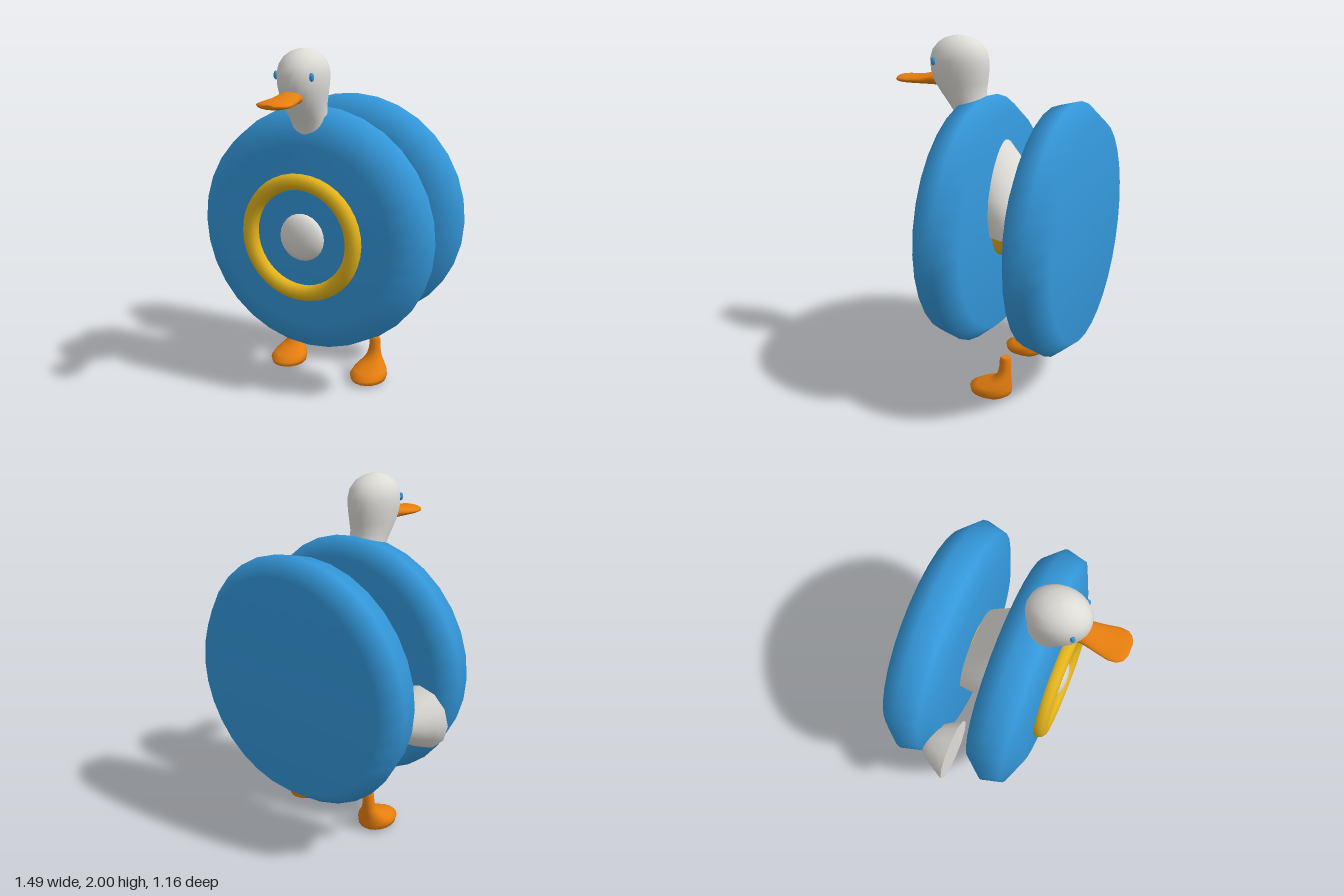
import * as THREE from 'three';

const mat = (name, color) => {
  const m = new THREE.MeshStandardMaterial({ color });
  m.name = name;
  return m;
};

// Smooth skin over elliptical rings [y, zBack, zFront, halfWidth], y ascending, with flat end caps
function loft(levels, n = 20) {
  const pos = [], idx = [];
  const ring = ([y, z0, z1, hw]) => {
    for (let j = 0; j < n; j++) {
      const a = (j / n) * Math.PI * 2;
      pos.push(hw * Math.sin(a), y, (z0 + z1) / 2 + ((z1 - z0) / 2) * Math.cos(a));
    }
  };
  levels.forEach(ring);
  for (let i = 0; i < levels.length - 1; i++) {
    for (let j = 0; j < n; j++) {
      const k = (j + 1) % n, a = i * n + j, b = i * n + k;
      idx.push(a, b, b + n, a, b + n, a + n);
    }
  }
  [levels[0], levels[levels.length - 1]].forEach((l, top) => {
    const s = pos.length / 3;
    ring(l);
    pos.push(0, l[0], (l[1] + l[2]) / 2);
    for (let j = 0; j < n; j++) {
      const k = (j + 1) % n;
      idx.push(s + n, top ? s + j : s + k, top ? s + k : s + j);
    }
  });
  const g = new THREE.BufferGeometry();
  g.setAttribute('position', new THREE.Float32BufferAttribute(pos, 3));
  g.setIndex(idx);
  g.computeVertexNormals();
  return g;
}

export function createModel() {
  const model = new THREE.Group();
  model.name = 'yoyoDuck';
  const blue = mat('blue', 0x3498db);
  const white = mat('offWhite', 0xdedcd7);
  const orange = mat('orange', 0xe67e0e);
  const yellow = mat('yellow', 0xe2b31c);
  const CX = 0.03, CY = 0.965;

  const add = (name, geo, material, x = 0, y = 0, z = 0) => {
    const m = new THREE.Mesh(geo, material);
    m.name = name;
    m.position.set(x, y, z);
    model.add(m);
    return m;
  };

  // Two identical bevelled discs
  const profile = [[0, -0.08], [0.62, -0.08], [0.712, 0.03], [0.68, 0.155], [0.525, 0.22], [0, 0.22]];
  const disc = new THREE.LatheGeometry(profile.map(p => new THREE.Vector2(...p)), 32).rotateX(Math.PI / 2);
  add('frontDisc', disc, blue, CX, CY, 0);
  add('backDisc', disc, blue, CX, CY, -0.5);

  // Axle, ring and hub
  add('axle', new THREE.CylinderGeometry(0.2, 0.2, 0.4, 24).rotateX(Math.PI / 2), yellow, CX, CY, -0.18);
  add('frontRing', new THREE.TorusGeometry(0.321, 0.046, 10, 40), yellow, CX, CY, 0.24);
  add('hub', new THREE.SphereGeometry(1, 20, 12).scale(0.136, 0.136, 0.07), white, CX, CY, 0.217);

  // Head, neck and body in one skin, hidden where it passes through the front disc
  add('headAndBody', loft([
    [0.94, -0.48, 0.06, 0.262], [1.05, -0.38, 0.1, 0.262], [1.16, -0.28, 0.13, 0.245],
    [1.3, -0.18, 0.16, 0.2], [1.44, -0.08, 0.18, 0.14], [1.55, -0.01, 0.2, 0.098],
    [1.62, 0.03, 0.25, 0.1], [1.69, 0.042, 0.303, 0.11], [1.75, 0.034, 0.345, 0.122],
    [1.81, 0.027, 0.364, 0.131], [1.87, 0.028, 0.367, 0.135], [1.92, 0.04, 0.352, 0.124],
    [1.96, 0.075, 0.318, 0.098], [1.985, 0.12, 0.28, 0.064], [1.997, 0.165, 0.24, 0.028], [2, 0.2, 0.205, 0.002],
  ], 24), white, CX);

  // Bill: lofted along its length, then laid forward
  add('bill', loft([
    [0.27, -1.8, -1.72, 0.06], [0.35, -1.793, -1.72, 0.066], [0.42, -1.775, -1.721, 0.08],
    [0.49, -1.768, -1.722, 0.094], [0.535, -1.766, -1.724, 0.09], [0.562, -1.763, -1.728, 0.07],
    [0.577, -1.754, -1.737, 0.035],
  ]).rotateX(Math.PI / 2), orange, CX);

  // Eyes
  const eye = new THREE.SphereGeometry(1, 12, 8).scale(0.013, 0.023, 0.014);
  for (const s of [-1, 1]) add(s > 0 ? 'leftEye' : 'rightEye', eye, blue, CX + s * 0.105, 1.866, 0.306);

  // Flared tail between the discs on one side
  add('tail', loft([
    [-0.39, -0.01, 0.01, 0.01], [-0.36, -0.055, 0.055, 0.055], [-0.31, -0.105, 0.105, 0.105],
    [-0.24, -0.148, 0.148, 0.148], [-0.18, -0.182, 0.182, 0.182],
  ], 12).rotateX(Math.PI / 2), white, -0.567, 0.835, 0);

  // Legs flaring into feet
  const foot = loft([
    [0, -0.205, -0.03, 0.075], [0.018, -0.23, 0.01, 0.103], [0.045, -0.232, 0.016, 0.11],
    [0.07, -0.23, -0.03, 0.1], [0.1, -0.23, -0.105, 0.073], [0.135, -0.23, -0.15, 0.046],
    [0.18, -0.23, -0.162, 0.035], [0.235, -0.23, -0.166, 0.032], [0.25, -0.222, -0.174, 0.025],
  ]);
  for (const s of [-1, 1]) add(s > 0 ? 'leftFoot' : 'rightFoot', foot, orange, CX + s * 0.274);

  return model;
}
